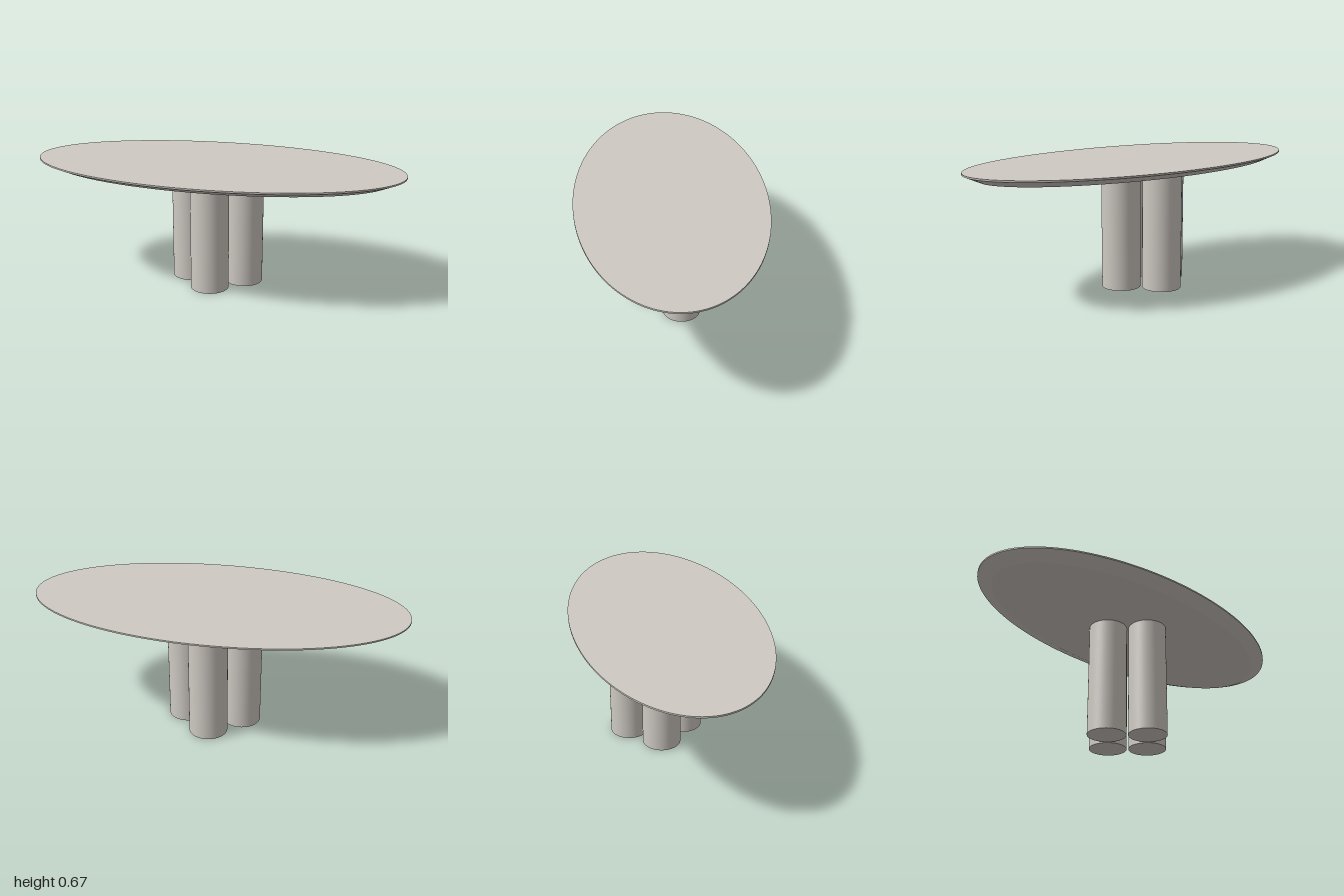
import * as THREE from 'three';
import { toCreasedNormals } from 'three/addons/utils/BufferGeometryUtils.js';

const HALF_DEPTH = 0.505;
const UNDERSIDE = 0.628;

// Oval slab: a turned profile squeezed in z so the bevel keeps an even width
function ovalTop() {
  const profile = [[0, UNDERSIDE], [0.923, UNDERSIDE], [1, 0.662], [1, 0.67], [0, 0.67]]
    .map(([r, y]) => new THREE.Vector2(r, y));
  const geometry = new THREE.LatheGeometry(profile, 128);
  const pos = geometry.attributes.position;
  for (let i = 0; i < pos.count; i++) {
    const r = Math.hypot(pos.getX(i), pos.getZ(i));
    if (r > 0.5) pos.setZ(i, pos.getZ(i) * (r - (1 - HALF_DEPTH)) / r);
  }
  return toCreasedNormals(geometry, 0.3);
}

export function createModel() {
  const stone = new THREE.MeshStandardMaterial({ color: 0xcec9c2 });
  stone.name = 'warm grey stone';

  const table = new THREE.Group();
  table.name = 'table';

  const top = new THREE.Mesh(ovalTop(), stone);
  top.name = 'tableTop';
  table.add(top);

  // Four round columns in a diamond, set slightly towards the back
  const base = new THREE.Group();
  base.name = 'base';
  base.position.z = -0.053;
  const column = new THREE.CylinderGeometry(0.103, 0.103, UNDERSIDE, 64);
  const spread = 0.152;
  const places = { leftColumn: [1, 0], rightColumn: [-1, 0], frontColumn: [0, 1], backColumn: [0, -1] };
  for (const [name, [x, z]] of Object.entries(places)) {
    const leg = new THREE.Mesh(column, stone);
    leg.name = name;
    leg.position.set(x * spread, UNDERSIDE / 2, z * spread);
    base.add(leg);
  }
  table.add(base);

  return table;
}
